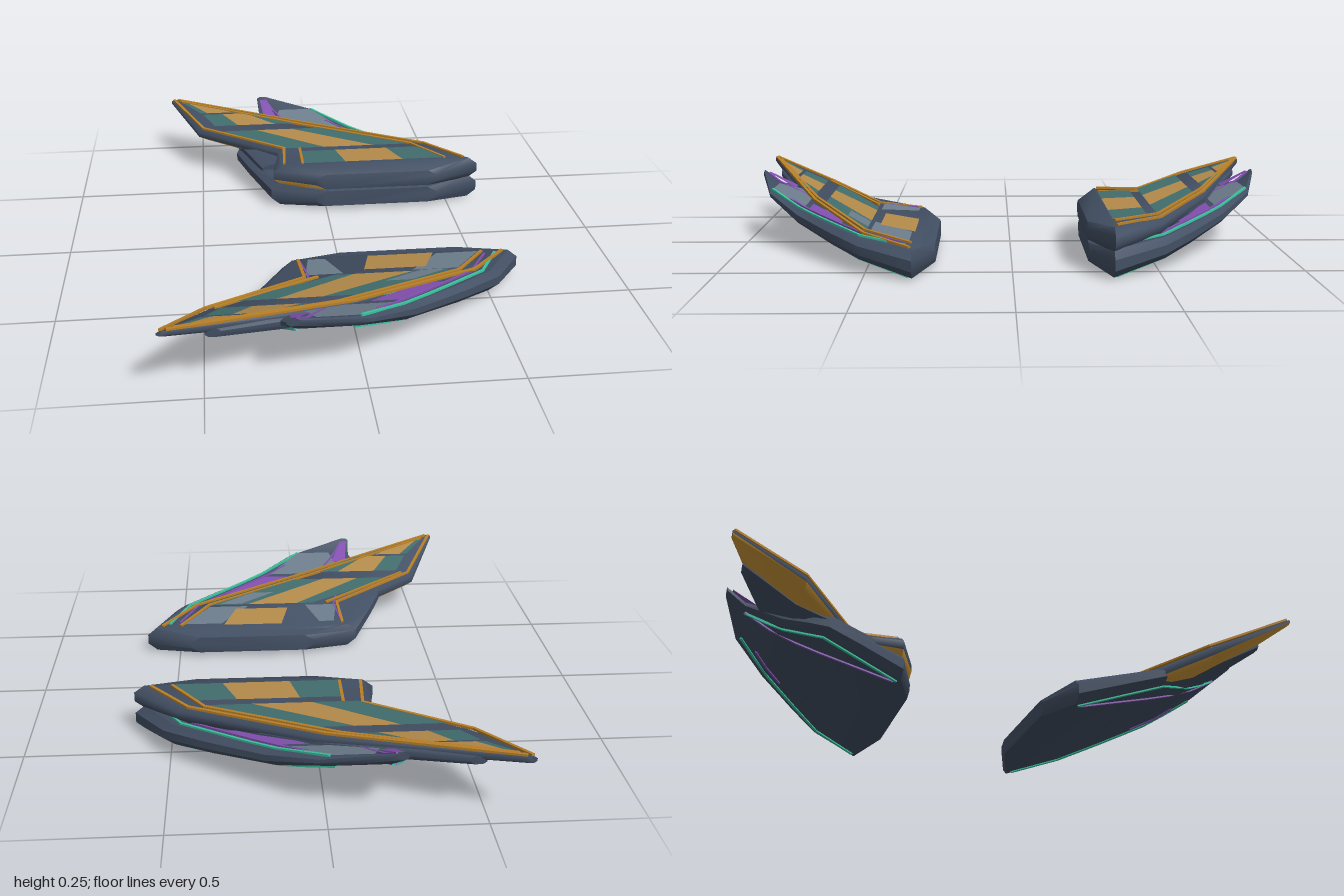
import * as THREE from 'three';
import { toCreasedNormals } from 'three/addons/utils/BufferGeometryUtils.js';

const mat = (name, color, side = THREE.FrontSide) => {
  const m = new THREE.MeshStandardMaterial({ color, side });
  m.name = name;
  return m;
};

export function createModel() {
  const model = new THREE.Group();
  const D = THREE.DoubleSide;
  const hull = mat('dark slate', 0x424f63);
  const gold = mat('gold', 0xb38a4a, D);
  const bronze = mat('bronze trim', 0xb88028);
  const amber = mat('amber underside', 0xd09838);
  const teal = mat('deep teal', 0x416d6d, D);
  const grey = mat('pale slate', 0x6d7d8c, D);
  const purple = mat('purple', 0x8250b0, D);
  const mint = mat('bright teal', 0x3cc4a0);

  // A station is [z, xTrailing, xLeading, yBottom, yTop], from root to tip
  const sample = (st, z, k) => {
    let i = 1;
    while (i < st.length - 1 && z > st[i][0]) i++;
    const a = st[i - 1], b = st[i];
    const t = THREE.MathUtils.clamp((z - a[0]) / (b[0] - a[0]), 0, 1);
    return a[k] + (b[k] - a[k]) * t;
  };

  // Bevelled shell lofted through eight-point sections
  function shell(st, s, under, crease) {
    const pos = [], sides = [], bottom = [], n = 8;
    for (const [z, t, l, b, u] of st) {
      const i = Math.min(0.035, (l - t) * 0.25), h = u - b;
      const ring = [[t + i, b], [l - i, b], [l, b + h * 0.3], [l, b + h * 0.7],
        [l - i, u], [t + i, u], [t, b + h * 0.7], [t, b + h * 0.3]];
      for (const [x, y] of ring) pos.push(x, y, z * s);
    }
    const tri = (list, a, b, c) => (s > 0 ? list.push(a, b, c) : list.push(a, c, b));
    for (let k = 0; k < st.length - 1; k++) {
      for (let j = 0; j < n; j++) {
        const a = k * n + j, b = k * n + (j + 1) % n;
        // underside and its trailing bevel share one colour
        const list = j === 0 || j === 7 ? bottom : sides;
        tri(list, a, b, b + n);
        tri(list, a, b + n, a + n);
      }
    }
    const e = (st.length - 1) * n;
    for (let j = 1; j < n - 1; j++) {
      tri(sides, 0, j + 1, j);
      tri(sides, e, e + j, e + j + 1);
    }
    const g = new THREE.BufferGeometry();
    g.setAttribute('position', new THREE.Float32BufferAttribute(pos, 3));
    g.setIndex([...sides, ...bottom]);
    g.addGroup(0, sides.length, 0);
    g.addGroup(sides.length, bottom.length, 1);
    const m = new THREE.Mesh(toCreasedNormals(g, crease), [hull, under]);
    m.name = 'wingShell';
    return m;
  }

  // Four-sided inlay lying on the upper skin
  function panel(st, s, [z0, a0, b0, z1, a1, b1], material, lift) {
    const y0 = sample(st, z0, 4) + lift, y1 = sample(st, z1, 4) + lift;
    const g = new THREE.BufferGeometry();
    g.setAttribute('position', new THREE.Float32BufferAttribute(
      [a0, y0, z0 * s, b0, y0, z0 * s, b1, y1, z1 * s, a1, y1, z1 * s], 3));
    g.setIndex(s > 0 ? [0, 2, 1, 0, 3, 2] : [0, 1, 2, 0, 2, 3]);
    g.computeVertexNormals();
    const m = new THREE.Mesh(g, material);
    m.name = 'inlayPanel';
    return m;
  }

  // Raised strip following a path of [x, z] points along the top (4) or bottom (3) skin
  function trim(st, s, path, material, k = 4, w = 0.011) {
    const out = new THREE.Group();
    out.name = 'edgeTrim';
    const at = (x, z) => new THREE.Vector3(x, sample(st, z, k) + (k === 4 ? 0.003 : -0.002), z * s);
    for (let i = 0; i < path.length - 1; i++) {
      const [x0, z0] = path[i], [x1, z1] = path[i + 1], cuts = 6;
      for (let c = 0; c < cuts; c++) {
        const f = c / cuts, g = (c + 1) / cuts;
        const p = at(x0 + (x1 - x0) * f, z0 + (z1 - z0) * f);
        const q = at(x0 + (x1 - x0) * g, z0 + (z1 - z0) * g);
        const bar = new THREE.Mesh(new THREE.BoxGeometry(w, 0.008, p.distanceTo(q) + 0.003), material);
        bar.position.copy(p).lerp(q, 0.5);
        bar.lookAt(q);
        out.add(bar);
      }
    }
    return out;
  }

  // Broad lower wing
  const lower = [
    [0.265, -0.04, 0.45, 0.015, 0.08], [0.335, -0.22, 0.63, 0, 0.095],
    [0.52, -0.305, 0.52, 0.04, 0.115], [0.63, -0.35, 0.385, 0.063, 0.13],
    [0.70, -0.33, 0.29, 0.08, 0.14], [0.78, -0.295, 0.185, 0.1, 0.155],
    [0.905, -0.24, 0.02, 0.165, 0.198], [0.97, -0.245, -0.2, 0.215, 0.24]];
  // Short middle feather, swept back
  const middle = (d) => [
    [0.45, -0.25, 0.5, 0.05 + d, 0.1 + d], [0.65, -0.34, 0.2, 0.075 + d, 0.13 + d],
    [0.75, -0.375, 0.0, 0.087 + d, 0.145 + d], [0.945, -0.49, -0.44, 0.178, 0.206]];
  // Long upper wing: low on the front side, raised on the rear side
  const upperLow = [
    [0.268, -0.04, 0.45, 0.017, 0.079], [0.335, -0.2, 0.62, 0.01, 0.096],
    [0.51, -0.18, 0.47, 0.05, 0.118], [0.74, -0.51, 0.02, 0.093, 0.155],
    [0.997, -0.63, -0.595, 0.222, 0.24]];
  const upperHigh = [
    [0.26, -0.04, 0.45, 0.092, 0.155], [0.335, -0.21, 0.63, 0.086, 0.172],
    [0.51, -0.18, 0.47, 0.115, 0.172], [0.74, -0.51, 0.02, 0.135, 0.185],
    [0.997, -0.63, -0.595, 0.208, 0.23]];

  for (const s of [1, -1]) {
    const front = s > 0;
    const add = (name, ...parts) => {
      const g = new THREE.Group();
      g.name = (front ? 'front' : 'rear') + name;
      g.add(...parts);
      model.add(g);
    };

    const L = lower;
    add('LowerWing', shell(L, s, hull, 0.6),
      panel(L, s, [0.76, -0.2, 0.12, 0.9, -0.15, -0.01], grey, 0.004),
      panel(L, s, [0.6, 0.23, 0.32, 0.74, 0.04, 0.14], purple, 0.004),
      panel(L, s, [0.84, -0.22, -0.16, 0.95, -0.235, -0.212], purple, 0.006),
      panel(L, s, [0.35, -0.13, -0.07, 0.49, -0.15, -0.02], grey, 0.007),
      panel(L, s, [0.35, 0.33, 0.48, 0.49, 0.22, 0.38], grey, 0.007),
      trim(L, s, [[0.54, 0.36], [0.46, 0.52], [-0.01, 0.9]], mint, 4, 0.009),
      trim(L, s, [[0.50, 0.37], [0.42, 0.52], [0.05, 0.82]], purple, 4, 0.007),
      trim(L, s, [[-0.09, 0.76], [-0.15, 0.85], [-0.21, 0.95]], purple, 4, 0.008),
      trim(L, s, [[-0.16, 0.36], [-0.14, 0.49], [-0.2, 0.78]], purple, 4, 0.007),
      trim(L, s, [[0.57, 0.35], [0.46, 0.52], [-0.03, 0.89]], mint, 3, 0.01),
      trim(L, s, [[-0.17, 0.35], [-0.305, 0.64], [-0.21, 0.9]], mint, 3, 0.01),
      trim(L, s, [[-0.16, 0.36], [-0.215, 0.9]], purple, 3, 0.008),
      trim(L, s, [[0.0, 0.83], [0.15, 0.72]], purple, 3, 0.007));

    const M = middle(front ? 0 : 0.03);
    add('MiddleFeather', shell(M, s, hull, 0.6),
      trim(M, s, [[0.44, 0.46], [0.17, 0.65], [-0.45, 0.93]], mint, 4, 0.008));

    // Inlay rows: root z, tip z, then four x limits (teal, gold, teal) at root and at tip
    const rows = [
      [0.34, 0.467, [-0.085, 0.085, 0.32, 0.49], [-0.085, 0.055, 0.27, 0.41]],
      [0.503, 0.697, [front ? -0.05 : -0.14, 0.015, 0.22, 0.37], [-0.41, -0.26, -0.11, 0.02]],
      [0.752, 0.85, [-0.44, -0.34, -0.18, -0.1], [-0.49, -0.405, -0.305, -0.265]],
      [0.862, 0.955, [-0.50, -0.47, -0.36, -0.315], [-0.575, -0.555, -0.52, -0.51]]];
    const U = front ? upperLow : upperHigh;
    const inlays = [];
    for (const [z0, z1, a, b] of rows) {
      for (let i = 0; i < 3; i++) {
        // the low wing shows the lower wing's inlays beside its root panel
        if (front && z0 < 0.4 && i !== 1) continue;
        inlays.push(panel(U, s, [z0, a[i], a[i + 1], z1, b[i], b[i + 1]], i === 1 ? gold : teal, 0.005));
      }
    }
    if (front) inlays.push(panel(U, s, [0.503, 0.25, 0.34, 0.59, 0.11, 0.2], grey, 0.008));
    add('UpperWing', shell(U, s, amber, 1.1), ...inlays,
      trim(U, s, [[0.57, 0.345], [0.435, 0.51], [-0.01, 0.74], [-0.6, 0.99]], bronze),
      trim(U, s, [[0.495, 0.345], [0.38, 0.51], [-0.06, 0.74], [-0.58, 0.97]], bronze),
      trim(U, s, [[-0.165, 0.345], [-0.155, 0.51], [-0.49, 0.74], [-0.617, 0.99]], bronze),
      trim(U, s, front ? [[-0.11, 0.51], [-0.46, 0.74]] : [[-0.09, 0.345], [-0.09, 0.5]], bronze));
  }
  return model;
}
